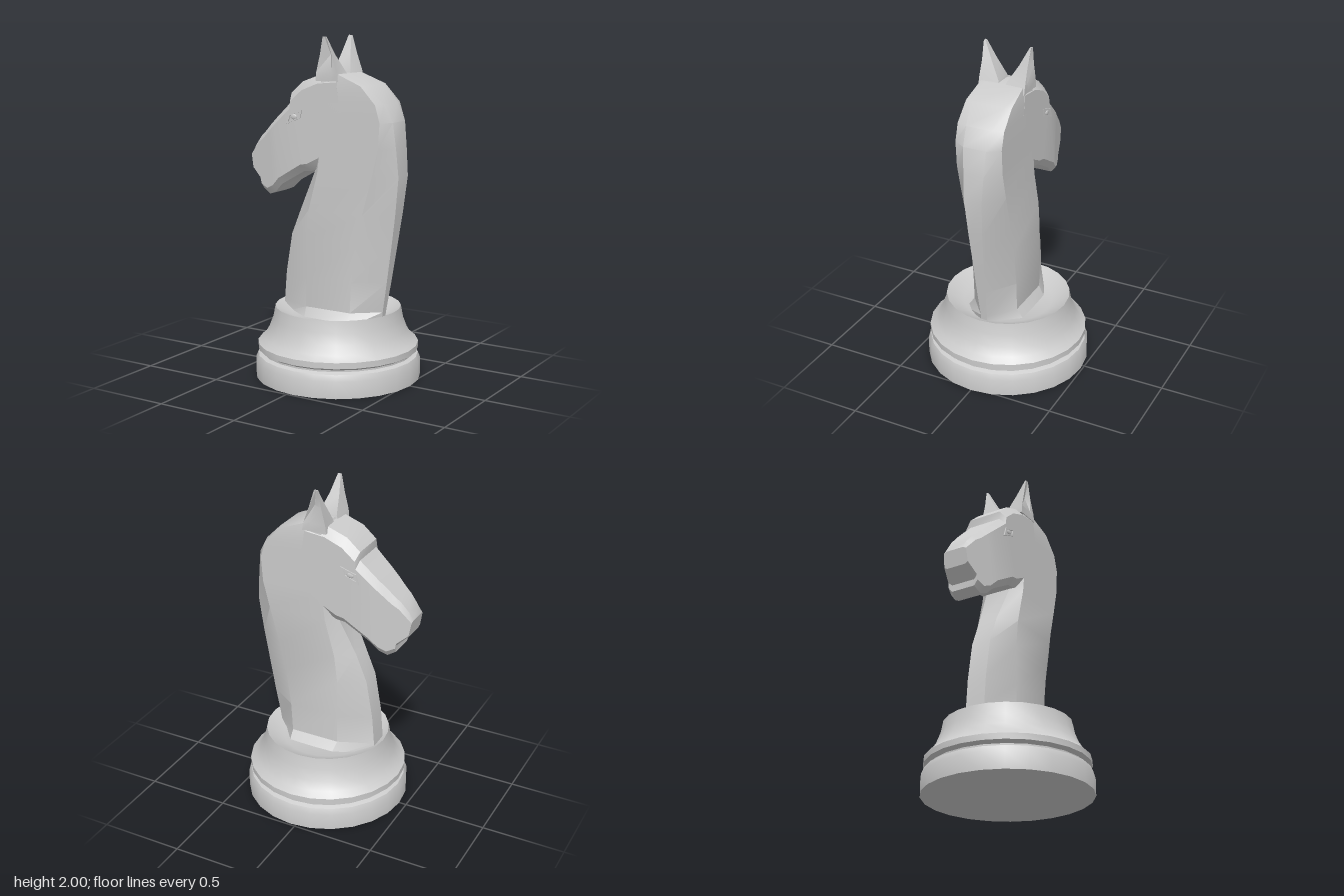
import * as THREE from 'three';
import { toCreasedNormals } from 'three/addons/utils/BufferGeometryUtils.js';

// Skin a list of equal-length loops, counterclockwise seen from the end, and cap both ends.
function loft(loops, crease) {
  const n = loops[0].length, last = (loops.length - 1) * n, index = [];
  for (let s = 0; s < loops.length - 1; s++) {
    for (let i = 0; i < n; i++) {
      const a = s * n + i, b = s * n + (i + 1) % n;
      index.push(a, b, b + n, a, b + n, a + n);
    }
  }
  for (let i = 1; i < n - 1; i++) {
    index.push(0, i + 1, i);
    index.push(last, last + i, last + i + 1);
  }
  const geo = new THREE.BufferGeometry();
  geo.setAttribute('position', new THREE.Float32BufferAttribute(loops.flat(2), 3));
  geo.setIndex(index);
  return toCreasedNormals(geo, crease);
}

export function createModel() {
  const group = new THREE.Group();
  const stone = new THREE.MeshStandardMaterial({ color: 0xcccccc });
  stone.name = 'pale stone';
  const add = (name, geo) => {
    const mesh = new THREE.Mesh(geo, stone);
    mesh.name = name;
    group.add(mesh);
    return mesh;
  };

  // Turned pedestal with a shallow dish on top
  const profile = [
    [0, 0], [0.49, 0], [0.49, 0.1], [0.475, 0.135], [0.45, 0.145], [0.45, 0.155],
    [0.476, 0.17], [0.476, 0.205], [0.44, 0.235], [0.41, 0.285], [0.385, 0.35],
    [0.372, 0.42], [0.345, 0.405], [0.27, 0.37], [0, 0.36],
  ].map(([r, y]) => new THREE.Vector2(r, y));
  add('pedestal', toCreasedNormals(new THREE.LatheGeometry(profile, 24), 0.75)).position.x = 0.035;

  // Neck: y, front x, side start x, side end x, back x, front half width, back half width, side half width
  const neck = [
    [0.34, -0.31, -0.08, 0.2, 0.34, 0.06, 0.02, 0.2],
    [0.42, -0.305, -0.1, 0.2, 0.35, 0.06, 0.02, 0.142],
    [0.6, -0.29, -0.1, 0.21, 0.38, 0.06, 0.028, 0.142],
    [0.83, -0.25, -0.1, 0.24, 0.415, 0.06, 0.036, 0.142],
    [1.0, -0.18, -0.08, 0.28, 0.44, 0.06, 0.044, 0.142],
    [1.22, -0.075, -0.02, 0.34, 0.465, 0.08, 0.055, 0.142],
    [1.38, -0.06, 0, 0.38, 0.452, 0.1, 0.062, 0.142],
    [1.53, -0.06, 0, 0.39, 0.435, 0.1, 0.07, 0.142],
    [1.63, -0.06, 0, 0.36, 0.38, 0.1, 0.08, 0.142],
    [1.73, -0.04, 0, 0.265, 0.28, 0.1, 0.1, 0.14],
    [1.79, 0, 0.02, 0.11, 0.12, 0.1, 0.1, 0.13],
  ].map(([y, f, fs, bs, b, wf, wb, w]) => [
    [f, y, wf], [fs, y, w], [bs, y, w], [b, y, wb],
    [b, y, -wb], [bs, y, -w], [fs, y, -w], [f, y, -wf],
  ]);
  add('neck', loft(neck, 0.6));

  // Head: top and bottom contour points from muzzle to crown, narrowing toward the muzzle
  const halfWidth = (x) => THREE.MathUtils.mapLinear(THREE.MathUtils.clamp(x, -0.53, -0.28), -0.53, -0.28, 0.075, 0.142);
  const head = [
    [-0.53, 1.3, -0.512, 1.2],
    [-0.505, 1.345, -0.44, 1.13],
    [-0.46, 1.4, -0.44, 1.09],
    [-0.42, 1.435, -0.39, 1.06],
    [-0.38, 1.475, -0.34, 1.08],
    [-0.33, 1.52, -0.29, 1.13],
    [-0.22, 1.62, -0.13, 1.22],
    [-0.22, 1.67, -0.075, 1.225],
    [-0.14, 1.74, 0, 1.26],
    [-0.03, 1.78, 0.08, 1.32],
    [0.1, 1.785, 0.16, 1.4],
  ].map(([tx, ty, bx, by]) => {
    const at = (t, k) => {
      const x = THREE.MathUtils.lerp(tx, bx, t);
      return [x, THREE.MathUtils.lerp(ty, by, t), k * halfWidth(x)];
    };
    return [at(0, 0.72), at(0.1, 1), at(0.9, 1), at(1, 0.75), at(1, -0.75), at(0.9, -1), at(0.1, -1), at(0, -0.72)];
  });
  add('head', loft(head, 0.6));

  // Ears: outer edge, hollow, back edge and inner face, rising to a point
  const ear = [
    [[-0.03, 1.75, 0.142], [0.07, 1.75, 0.138], [0.12, 1.75, 0.142], [0.12, 1.77, 0.02], [-0.02, 1.77, 0.02]],
    [[-0.025, 1.8, 0.142], [0.075, 1.8, 0.14], [0.11, 1.8, 0.142], [0.1, 1.8, 0.025], [-0.01, 1.8, 0.025]],
    [[0, 1.9, 0.142], [0.055, 1.9, 0.112], [0.075, 1.9, 0.14], [0.065, 1.9, 0.085], [0.005, 1.9, 0.085]],
    [[0.02, 2, 0.145], [0.03, 2, 0.142], [0.042, 2, 0.145], [0.04, 2, 0.135], [0.022, 2, 0.135]],
  ];
  add('leftEar', loft(ear, 0.6));
  add('rightEar', loft(ear.map((l) => l.map(([x, y, z]) => [x, y, -z]).reverse()), 0.6));

  // Eyes: thin slanted lids around a small raised eyeball
  const rim = [[-0.235, 1.49], [-0.135, 1.53], [-0.12, 1.58], [-0.215, 1.55]];
  const slit = rim.map(([x, y]) => [-0.178 + (x + 0.178) * 0.66, 1.537 + (y - 1.537) * 0.62]);
  const points = (list) => list.map(([x, y]) => new THREE.Vector2(x, y));
  const lid = new THREE.Shape(points(rim));
  lid.holes.push(new THREE.Path(points(slit)));
  const lidGeo = new THREE.ExtrudeGeometry(lid, { depth: 0.007, bevelEnabled: false });
  const ballGeo = new THREE.SphereGeometry(1, 12, 8).scale(0.022, 0.016, 0.006);
  for (const side of [1, -1]) {
    const name = side > 0 ? 'left' : 'right';
    add(name + 'Eyelids', lidGeo).position.z = side > 0 ? 0.141 : -0.148;
    add(name + 'Eye', ballGeo).position.set(-0.18, 1.537, side * 0.142);
  }

  return group;
}
